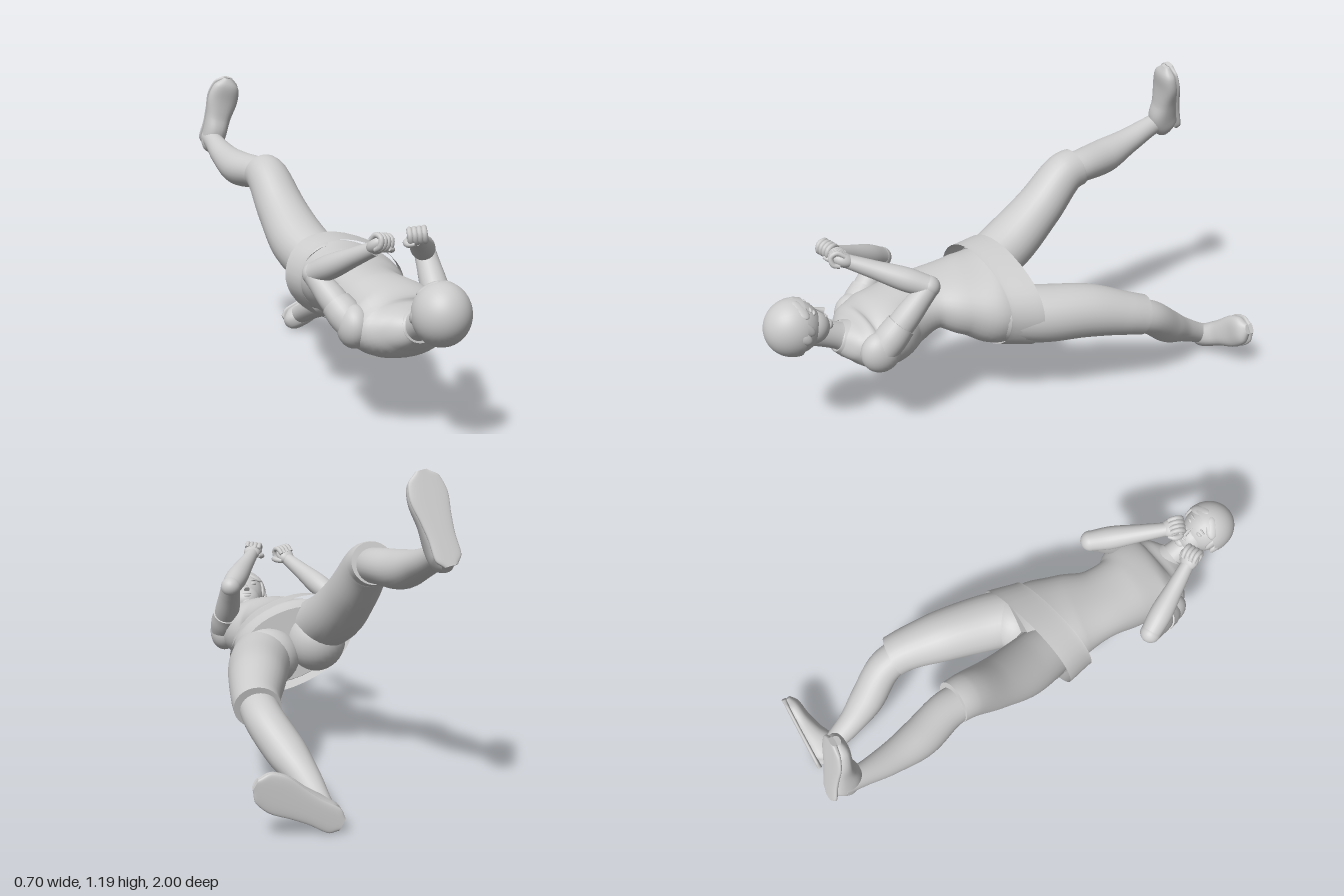
import * as THREE from 'three';

const material = new THREE.MeshStandardMaterial({ color: 0xcccccc, side: THREE.DoubleSide });
const V = (a) => new THREE.Vector3(...a);

function addMesh(parent, name, geometry) {
  const mesh = new THREE.Mesh(geometry, material);
  mesh.name = name;
  parent.add(mesh);
  return mesh;
}

// Smooth body through sections [x, y, z, halfWidth, halfThickness, rollDegrees].
function loft(sections, { steps = 28, sides = 28, capped = true, power = 1 } = {}) {
  const path = new THREE.CatmullRomCurve3(sections.map((s) => V(s.slice(0, 3))), false, 'centripetal');
  const sizes = new THREE.CatmullRomCurve3(sections.map((s) => V([s[3], s[4], s[5] ?? 0])), false, 'catmullrom', 0.4);
  const pos = [], index = [], centres = [];
  const bend = (v) => Math.sign(v) * Math.abs(v) ** power;
  for (let i = 0; i <= steps; i++) {
    const t = i / steps, c = path.getPoint(t), size = sizes.getPoint(t), tangent = path.getTangent(t);
    const roll = THREE.MathUtils.degToRad(size.z);
    const side = V([Math.cos(roll), Math.sin(roll), 0]);
    side.addScaledVector(tangent, -side.dot(tangent)).normalize();
    const up = new THREE.Vector3().crossVectors(tangent, side);
    centres.push(c);
    for (let j = 0; j < sides; j++) {
      const a = (j / sides) * Math.PI * 2;
      const p = c.clone().addScaledVector(side, bend(Math.cos(a)) * size.x).addScaledVector(up, bend(Math.sin(a)) * size.y);
      pos.push(p.x, p.y, p.z);
    }
  }
  for (let i = 0; i < steps; i++) {
    for (let j = 0; j < sides; j++) {
      const a = i * sides + j, b = i * sides + ((j + 1) % sides);
      index.push(a, b, a + sides, b, b + sides, a + sides);
    }
  }
  // Caps own their vertices so the rims stay crisp.
  if (capped) for (const end of [0, steps]) {
    const start = pos.length / 3;
    pos.push(...pos.slice(end * sides * 3, (end + 1) * sides * 3), ...centres[end].toArray());
    for (let j = 0; j < sides; j++) {
      const a = start + j, b = start + ((j + 1) % sides), m = start + sides;
      index.push(...(end ? [a, b, m] : [b, a, m]));
    }
  }
  const geometry = new THREE.BufferGeometry();
  geometry.setAttribute('position', new THREE.Float32BufferAttribute(pos, 3));
  geometry.setIndex(index);
  geometry.computeVertexNormals();
  return geometry;
}

function ellipsoid(parent, name, centre, radii) {
  const mesh = addMesh(parent, name, new THREE.SphereGeometry(1, 28, 20));
  mesh.position.set(...centre);
  mesh.scale.set(...radii);
  return mesh;
}

// Group whose local z follows "forward" and local y leans towards "up".
function orientedGroup(parent, name, origin, forward, up) {
  const group = new THREE.Group();
  const z = V(forward).normalize(), x = new THREE.Vector3().crossVectors(V(up), z).normalize();
  const y = new THREE.Vector3().crossVectors(z, x);
  group.name = name;
  group.quaternion.setFromRotationMatrix(new THREE.Matrix4().makeBasis(x, y, z));
  group.position.set(...origin);
  parent.add(group);
  return group;
}

// Shoe with the heel at the local origin, toe along z and a separate sole.
function addShoe(parent, name, heel, direction, up) {
  const shoe = orientedGroup(parent, name, heel, direction, up);
  addMesh(shoe, 'shoeUpper', loft([
    [0, 0.04, 0.003, 0.022, 0.03], [0, 0.057, 0.03, 0.046, 0.055], [0, 0.065, 0.08, 0.05, 0.062],
    [0, 0.05, 0.15, 0.055, 0.047], [0, 0.038, 0.23, 0.067, 0.036], [0, 0.033, 0.29, 0.057, 0.03],
    [0, 0.024, 0.327, 0.02, 0.014],
  ], { power: 0.85 }));
  addMesh(shoe, 'shoeSole', loft([
    [0, 0.01, 0, 0.024, 0.01], [0, 0.01, 0.03, 0.047, 0.01], [0, 0.01, 0.1, 0.048, 0.01],
    [0, 0.01, 0.16, 0.055, 0.01], [0, 0.01, 0.24, 0.068, 0.01], [0, 0.01, 0.3, 0.056, 0.01],
    [0, 0.01, 0.33, 0.02, 0.01],
  ], { power: 0.7 }));
}

// Closed fist: palm, four curled fingers and a thumb.
function addFist(parent, name, wrist, direction, up, inward) {
  const fist = orientedGroup(parent, name, wrist, direction, up);
  ellipsoid(fist, 'palm', [0, 0, 0.032], [0.037, 0.028, 0.045]);
  for (let i = 0; i < 4; i++) {
    const x = (i - 1.5) * 0.017;
    addMesh(fist, 'finger', loft([
      [x, 0.02, 0.03, 0.009, 0.009], [x, 0.023, 0.062, 0.0105, 0.0105], [x, 0, 0.079, 0.0105, 0.0105],
      [x, -0.024, 0.062, 0.0105, 0.0105], [x, -0.022, 0.035, 0.008, 0.008],
    ], { steps: 12, sides: 10 }));
  }
  addMesh(fist, 'thumb', loft([
    [inward * 0.028, -0.005, 0.012, 0.01, 0.01], [inward * 0.041, -0.015, 0.035, 0.012, 0.012],
    [inward * 0.034, -0.03, 0.058, 0.011, 0.011], [inward * 0.012, -0.034, 0.066, 0.005, 0.006],
  ], { steps: 12, sides: 12 }));
}

function addHead(parent) {
  const head = orientedGroup(parent, 'head', [0.063, 0.482, 0.885], [0.03, 0.74, -0.67], [0, 0.67, 0.74]);
  ellipsoid(head, 'skull', [0, 0, 0], [0.094, 0.106, 0.104]);
  ellipsoid(head, 'jaw', [0, -0.062, 0.038], [0.066, 0.066, 0.066]);
  ellipsoid(head, 'chin', [0, -0.108, 0.075], [0.027, 0.02, 0.022]);
  // Hair cap with a parted fringe and sideburns around the open face.
  const hair = addMesh(head, 'hair', new THREE.SphereGeometry(0.11, 36, 20, 0, Math.PI * 2, 0, Math.PI * 0.57));
  hair.scale.set(0.95, 1.03, 1.03);
  hair.rotation.x = -0.6;
  const nose = addMesh(head, 'nose', new THREE.ConeGeometry(0.013, 0.045, 12));
  nose.position.set(0, -0.034, 0.106);
  nose.rotation.x = -0.25;
  ellipsoid(head, 'upperLip', [0, -0.07, 0.1], [0.021, 0.005, 0.006]);
  ellipsoid(head, 'lowerLip', [0, -0.08, 0.097], [0.017, 0.006, 0.007]);
  for (const s of [-1, 1]) {
    const fringe = ellipsoid(head, 'fringe', [s * 0.045, 0.045, 0.077], [0.046, 0.024, 0.012]);
    fringe.rotation.set(-0.5, s * 0.5, s * -0.5);
    ellipsoid(head, 'sideburn', [s * 0.083, -0.002, 0.035], [0.012, 0.043, 0.022]);
    ellipsoid(head, 'eye', [s * 0.034, -0.01, 0.091], [0.015, 0.008, 0.01]);
    ellipsoid(head, 'eyebrow', [s * 0.035, 0.01, 0.095], [0.019, 0.004, 0.006]);
    ellipsoid(head, 'ear', [s * 0.094, -0.02, 0.005], [0.012, 0.03, 0.02]);
  }
}

export function createModel() {
  const figure = new THREE.Group();
  figure.name = 'recliningFighter';

  // Torso, twisted so the hips roll while the shoulders stay level.
  addMesh(figure, 'torso', loft([
    [0.025, 0.437, -0.02, 0.2, 0.135, -22], [0.02, 0.434, 0.08, 0.222, 0.154, -22],
    [0.01, 0.451, 0.2, 0.188, 0.125, -17], [-0.005, 0.455, 0.32, 0.152, 0.102, -9],
    [0, 0.42, 0.44, 0.156, 0.13, -3], [0.025, 0.389, 0.54, 0.188, 0.137, 0],
    [0.035, 0.372, 0.62, 0.185, 0.108, 0], [0.045, 0.38, 0.675, 0.125, 0.075, 0],
    [0.05, 0.39, 0.72, 0.055, 0.05, 0],
  ], { steps: 44, sides: 36, power: 0.92 }));
  addMesh(figure, 'neck', loft([
    [0.045, 0.37, 0.64, 0.075, 0.07], [0.05, 0.405, 0.72, 0.052, 0.052], [0.06, 0.46, 0.85, 0.05, 0.055],
  ]));
  addMesh(figure, 'collar', loft([
    [0.047, 0.383, 0.675, 0.085, 0.075], [0.05, 0.4, 0.715, 0.061, 0.06],
  ], { steps: 4, capped: false }));

  // Seat of the trousers below the torso.
  ellipsoid(figure, 'rightButtock', [-0.08, 0.445, 0.01], [0.12, 0.125, 0.12]);
  ellipsoid(figure, 'leftButtock', [0.12, 0.385, 0], [0.13, 0.118, 0.12]);

  // Open flared hem, slanted across the hips.
  const hem = loft([[0.017, 0.437, 0.125, 0.235, 0.163, -20], [0.018, 0.435, 0.005, 0.267, 0.174, -20]],
    { steps: 6, sides: 36, capped: false, power: 0.9 });
  const p = hem.attributes.position;
  for (let i = 0; i < p.count; i++) p.setZ(i, p.getZ(i) - p.getX(i) * 0.22);
  hem.computeVertexNormals();
  addMesh(figure, 'hem', hem);

  // Raised right leg.
  addMesh(figure, 'rightTrouserLeg', loft([
    [-0.085, 0.49, 0.05, 0.11, 0.11], [-0.133, 0.565, -0.1, 0.116, 0.108], [-0.165, 0.68, -0.25, 0.101, 0.096],
    [-0.188, 0.798, -0.375, 0.088, 0.086], [-0.195, 0.815, -0.43, 0.084, 0.081],
  ]));
  addMesh(figure, 'rightCalf', loft([
    [-0.195, 0.8, -0.38, 0.07, 0.066], [-0.209, 0.81, -0.47, 0.074, 0.067], [-0.255, 0.816, -0.6, 0.076, 0.072],
    [-0.285, 0.856, -0.74, 0.058, 0.053], [-0.3, 0.9, -0.86, 0.042, 0.043], [-0.305, 0.92, -0.93, 0.04, 0.042],
  ]));
  addShoe(figure, 'rightShoe', [-0.307, 0.885, -0.993], [0.08, 0.31, 0.097], [0, -0.28, 0.96]);

  // Lower left leg.
  addMesh(figure, 'leftTrouserLeg', loft([
    [0.125, 0.39, 0.05, 0.115, 0.112], [0.17, 0.373, -0.1, 0.119, 0.115], [0.21, 0.365, -0.28, 0.109, 0.107],
    [0.244, 0.333, -0.44, 0.091, 0.088], [0.25, 0.315, -0.51, 0.087, 0.082],
  ]));
  addMesh(figure, 'leftCalf', loft([
    [0.245, 0.325, -0.45, 0.07, 0.068], [0.235, 0.283, -0.56, 0.073, 0.07], [0.178, 0.192, -0.68, 0.073, 0.07],
    [0.135, 0.13, -0.79, 0.055, 0.052], [0.11, 0.077, -0.9, 0.042, 0.042], [0.105, 0.062, -0.96, 0.04, 0.04],
  ]));
  addShoe(figure, 'leftShoe', [0.055, 0.03, -1], [0.28, 0.15, 0], [0, 0, 1]);

  // Bent arms with short sleeves and guarding fists.
  const arms = [
    ['left', [0.198, 0.375, 0.595], [0.2, 0.605, 0.395], [0.067, 0.7, 0.65], [-0.22, 0.24, 0.55], -1],
    ['right', [-0.145, 0.385, 0.58], [-0.243, 0.55, 0.42], [-0.105, 0.672, 0.655], [0.28, 0.38, 0.45], 1],
  ];
  for (const [side, shoulder, elbow, wrist, aim, inward] of arms) {
    const between = (a, b, t, r) => [...V(a).lerp(V(b), t).toArray(), r, r];
    ellipsoid(figure, side + 'Shoulder', shoulder, [0.06, 0.08, 0.078]);
    addMesh(figure, side + 'Sleeve', loft([
      between(shoulder, elbow, -0.1, 0.055), between(shoulder, elbow, 0.2, 0.063), between(shoulder, elbow, 0.42, 0.058),
    ], { steps: 10 }));
    addMesh(figure, side + 'UpperArm', loft([
      between(shoulder, elbow, 0.1, 0.05), between(shoulder, elbow, 0.5, 0.052),
      between(shoulder, elbow, 0.85, 0.044), between(shoulder, elbow, 1, 0.041),
    ]));
    ellipsoid(figure, side + 'Elbow', elbow, [0.042, 0.042, 0.042]);
    addMesh(figure, side + 'Forearm', loft([
      between(elbow, wrist, 0, 0.041), between(elbow, wrist, 0.3, 0.046),
      between(elbow, wrist, 0.75, 0.034), between(elbow, wrist, 1.05, 0.027),
    ]));
    addFist(figure, side + 'Fist', wrist, aim, [0, 1, -0.4], inward);
  }

  addHead(figure);
  return figure;
}
